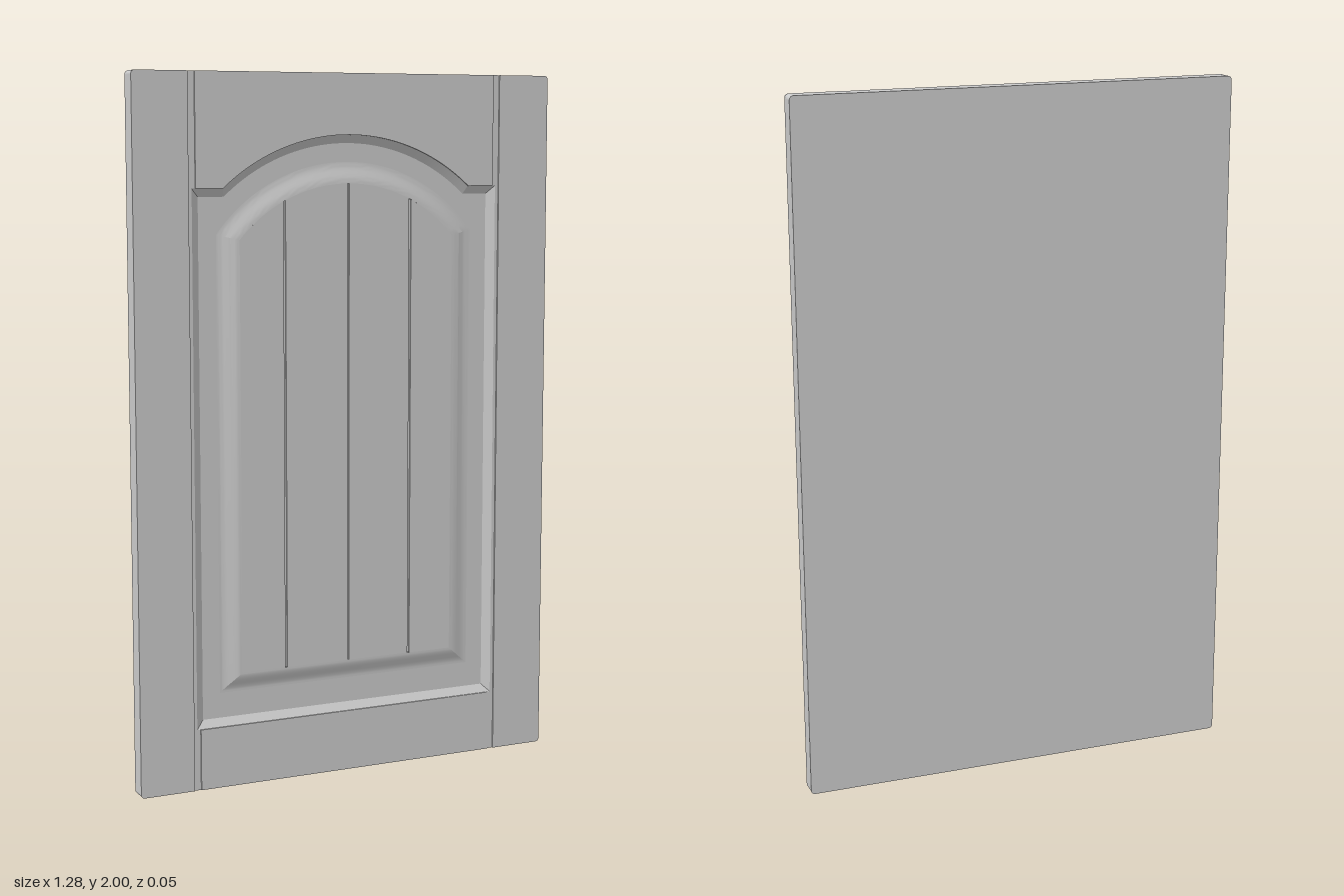
import * as THREE from 'three';
import { toCreasedNormals } from 'three/addons/utils/BufferGeometryUtils.js';

const W = 0.64, H = 2, BACK = -0.025, FRONT = 0.025;
const JOINT = 0.021;   // bottom of the stile/rail joint grooves
const FLOOR = 0.006;   // recessed panel floor
const FIELD = 0.019;   // top of the raised field
const CY = 1.26;       // centre of all the arches
const ARC_STEPS = 40;

const material = new THREE.MeshStandardMaterial({ color: 0xcccccc });
const P = (x, y) => new THREE.Vector2(x, y);

// Points on an arch, running from right to left
function arch(radius, start) {
  const pts = [];
  for (let i = 0; i <= ARC_STEPS; i++) {
    const a = start + (Math.PI - 2 * start) * i / ARC_STEPS;
    pts.push(P(radius * Math.cos(a), CY + radius * Math.sin(a)));
  }
  return pts;
}

// Arched opening with square shoulders, shrunk by an inset
function opening(inset) {
  const x = 0.47 - inset, r = 0.57 - inset, shoulder = 1.685 - inset, y = 0.175 + inset;
  return [P(-x, y), P(x, y), P(x, shoulder),
    ...arch(r, Math.asin((shoulder - CY) / r)), P(-x, shoulder)];
}

// Outline of the raised panel: t = 0 at its foot, t = 1 at the field
function panelLoop(t) {
  const x = 0.395 - 0.065 * t, r = 0.495 - 0.06 * t, y = 0.27 + 0.055 * t;
  return [P(-x, y), P(x, y), ...arch(r, Math.acos(x / r))];
}

// Skin between loops given from the outside in, each { pts, z }
function loft(loops, crease) {
  const pos = [];
  for (let k = 0; k + 1 < loops.length; k++) {
    const a = loops[k], b = loops[k + 1], n = a.pts.length;
    for (let i = 0; i < n; i++) {
      const j = (i + 1) % n;
      for (const [l, m] of [[a, i], [a, j], [b, j], [a, i], [b, j], [b, i]]) {
        pos.push(l.pts[m].x, l.pts[m].y, l.z);
      }
    }
  }
  const geo = new THREE.BufferGeometry();
  geo.setAttribute('position', new THREE.Float32BufferAttribute(pos, 3));
  return toCreasedNormals(geo, crease);
}

// Door outline with slightly rounded corners
function doorShape() {
  const r = 0.012, s = new THREE.Shape();
  s.absarc(W - r, r, r, -Math.PI / 2, 0);
  s.absarc(W - r, H - r, r, 0, Math.PI / 2);
  s.absarc(-W + r, H - r, r, Math.PI / 2, Math.PI);
  s.absarc(-W + r, r, r, Math.PI, Math.PI * 1.5);
  s.closePath();
  return s;
}

// Stile face with rounded outer corners; side is 1 or -1
function stileShape(side) {
  const r = 0.012, s = new THREE.Shape();
  s.moveTo(side * 0.48, 0);
  s.lineTo(side * (W - r), 0);
  s.quadraticCurveTo(side * W, 0, side * W, r);
  s.lineTo(side * W, H - r);
  s.quadraticCurveTo(side * W, H, side * (W - r), H);
  s.lineTo(side * 0.48, H);
  s.closePath();
  return s;
}

export function createModel() {
  const door = new THREE.Group();
  door.name = 'cabinetDoor';
  const add = (name, geo) => {
    const mesh = new THREE.Mesh(geo, material);
    mesh.name = name;
    door.add(mesh);
  };
  const slab = (name, shape, z0, z1) => add(name,
    new THREE.ExtrudeGeometry(shape, { depth: z1 - z0, bevelEnabled: false, curveSegments: 6 })
      .translate(0, 0, z0));

  // Solid back and the frame around the opening
  slab('backSlab', doorShape(), BACK, 0);
  const frame = doorShape();
  frame.holes.push(new THREE.Path(opening(0).reverse()));
  slab('frame', frame, 0, JOINT);

  // Faces of stiles and rails, parted by the narrow joint grooves
  slab('leftStile', stileShape(1), JOINT, FRONT);
  slab('rightStile', stileShape(-1), JOINT, FRONT);
  slab('bottomRail', new THREE.Shape([P(-0.46, 0), P(0.46, 0), P(0.46, 0.175), P(-0.46, 0.175)]),
    JOINT, FRONT);
  const arc = opening(0).slice(3, -1);
  slab('topRail', new THREE.Shape([P(-0.46, H), P(-0.46, 1.685), ...arc.reverse(),
    P(0.46, 1.685), P(0.46, H)]), JOINT, FRONT);

  // Sloped moulding down to the panel floor
  add('innerMoulding', loft([{ pts: opening(0), z: JOINT }, { pts: opening(0.023), z: FLOOR }], 0.3));
  add('panelFloor', new THREE.ShapeGeometry(new THREE.Shape(opening(0.02))).translate(0, 0, FLOOR));

  // Smooth slope up to the raised field
  const loops = [];
  for (let i = 0; i <= 10; i++) {
    const t = i / 10;
    loops.push({ pts: panelLoop(t), z: FLOOR + (FIELD - FLOOR) * (1 - Math.cos(Math.PI * t)) / 2 });
  }
  add('panelSlope', loft(loops, 0.2));

  // Field of four boards with narrow grooves between them
  const base = FIELD - 0.004;
  add('grooveBed', new THREE.ShapeGeometry(new THREE.Shape(panelLoop(1))).translate(0, 0, base));
  const edges = [-0.33, -0.195, 0, 0.195, 0.33], gap = 0.003, r = 0.435;
  for (let i = 0; i < 4; i++) {
    const x0 = edges[i] + (i > 0 ? gap : 0), x1 = edges[i + 1] - (i < 3 ? gap : 0);
    const pts = [P(x0, 0.325), P(x1, 0.325)];
    for (let k = 0; k <= 12; k++) {
      const x = x1 + (x0 - x1) * k / 12;
      pts.push(P(x, CY + Math.sqrt(r * r - x * x)));
    }
    slab('panelBoard' + (i + 1), new THREE.Shape(pts), base, FIELD);
  }
  return door;
}
